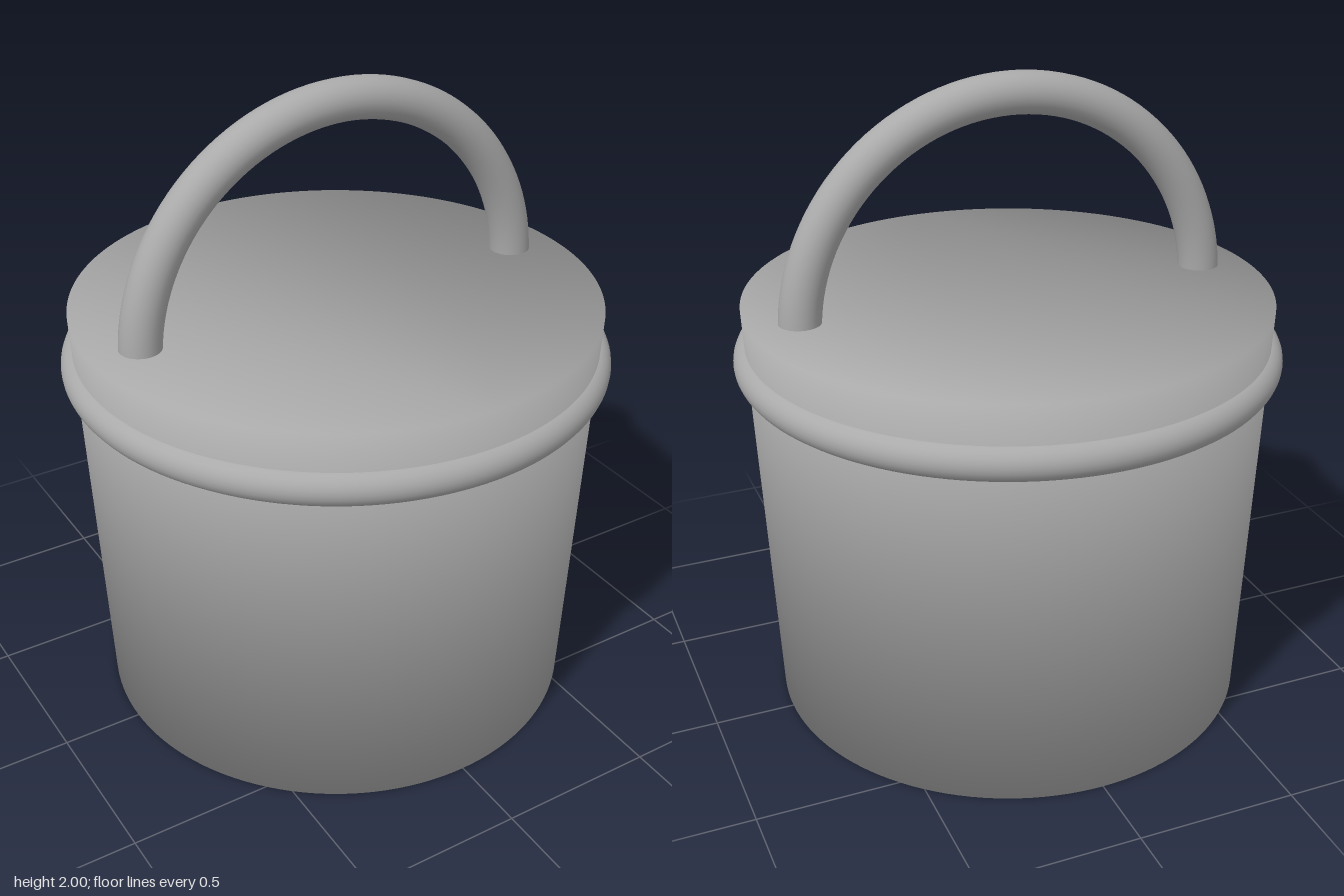
import * as THREE from 'three';

const grey = new THREE.MeshStandardMaterial({ color: 0xaaaaaa });
grey.name = 'grey';

// Closed tapered tub; caps share the rim normals so shading rolls softly over the edges
function tubGeometry(rBottom, rTop, height, sides) {
  const positions = [], normals = [], index = [];
  const tilt = THREE.MathUtils.degToRad(47);
  [[rBottom, 0, -1], [rTop, height, 1]].forEach(([r, y, up]) => {
    for (let i = 0; i < sides; i++) {
      const a = (i / sides) * Math.PI * 2, s = Math.sin(a), c = Math.cos(a);
      positions.push(r * s, y, r * c);
      normals.push(s * Math.sin(tilt), up * Math.cos(tilt), c * Math.sin(tilt));
    }
  });
  // wall
  for (let i = 0; i < sides; i++) {
    const j = (i + 1) % sides;
    index.push(i, j, sides + j, i, sides + j, sides + i);
  }
  // bottom and lid
  for (let i = 1; i < sides - 1; i++) {
    index.push(0, i + 1, i);
    index.push(sides, sides + i, sides + i + 1);
  }
  const g = new THREE.BufferGeometry();
  g.setAttribute('position', new THREE.Float32BufferAttribute(positions, 3));
  g.setAttribute('normal', new THREE.Float32BufferAttribute(normals, 3));
  g.setIndex(index);
  return g;
}

export function createModel() {
  const model = new THREE.Group();
  model.name = 'bucket';
  const add = (name, geometry) => {
    const mesh = new THREE.Mesh(geometry, grey);
    mesh.name = name;
    model.add(mesh);
  };

  add('tub', tubGeometry(0.75, 0.81, 1.32, 128));

  // rounded band below the lid
  add('band', new THREE.TorusGeometry(0.785, 0.056, 24, 128).rotateX(Math.PI / 2).translate(0, 1.145, 0));

  // arched carrying handle, its ends sunk into the lid
  add('handle', new THREE.TorusGeometry(0.656, 0.064, 24, 64, Math.PI).translate(0, 1.28, 0));

  return model;
}
